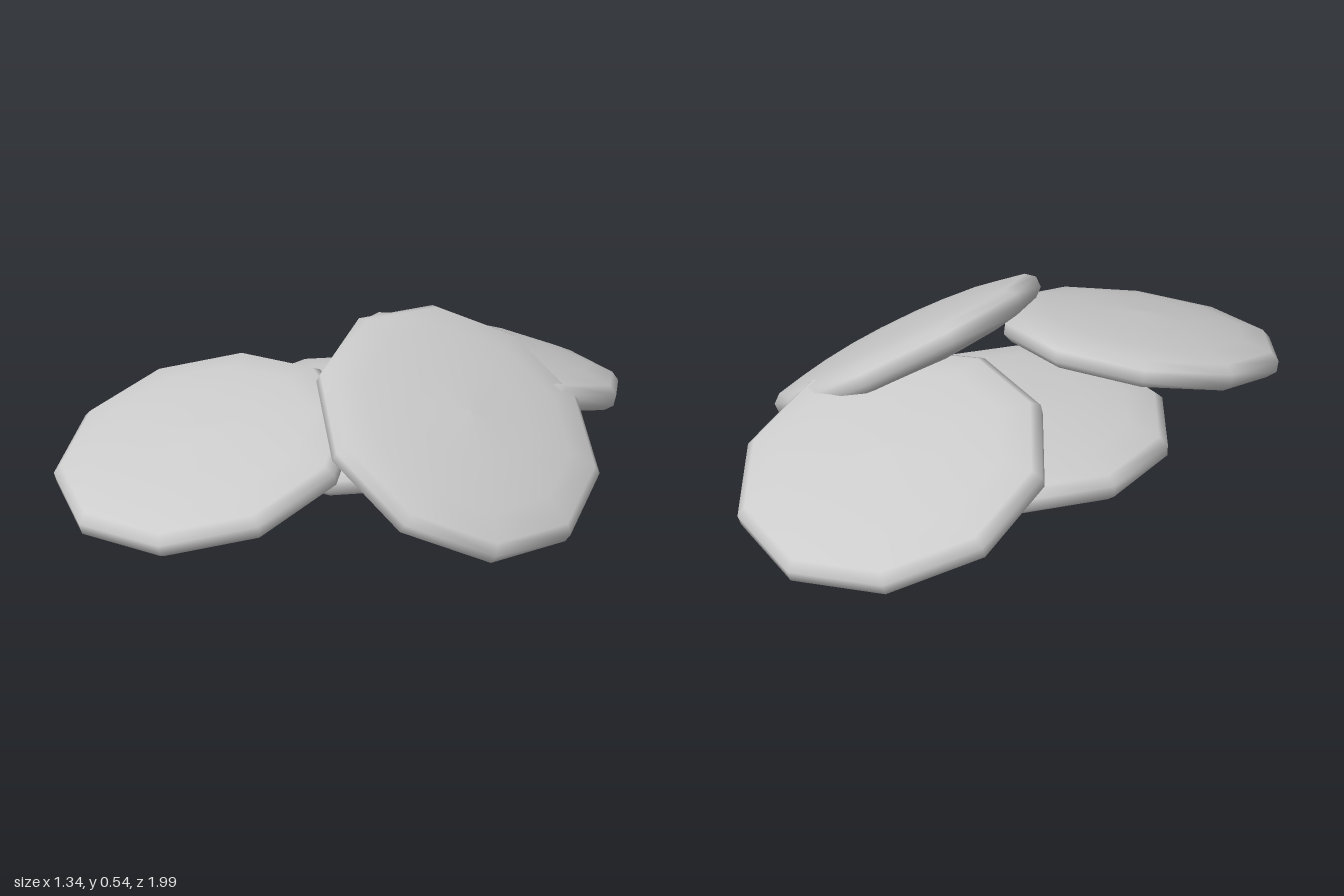
import * as THREE from 'three';

// Ten-sided, softly domed disc, shared by all four pieces
function discGeometry() {
  const half = [[0.463, 0.018], [0.435, 0.042], [0.34, 0.06], [0.2, 0.076], [0, 0.084]];
  const points = [
    ...half.slice().reverse().map(([r, y]) => new THREE.Vector2(r, -y)),
    ...half.map(([r, y]) => new THREE.Vector2(r, y)),
  ];
  return new THREE.LatheGeometry(points, 10);
}

export function createModel() {
  const group = new THREE.Group();
  group.name = 'discPile';
  const geometry = discGeometry();
  const material = new THREE.MeshStandardMaterial({ color: 0xcccccc });

  // name, centre, then pitch, spin and roll in degrees
  const discs = [
    ['bottomDisc', [-0.165, 0.15, -0.035], 0, 0, 0],
    ['frontDisc', [-0.217, 0.232, 0.54], 14, -2, -1.5],
    ['backDisc', [-0.085, 0.23, -0.555], -18, 0, 0],
    ['leaningDisc', [0.282, 0.28, -0.045], 0, -9, -33.5],
  ];
  for (const [name, centre, pitch, spin, roll] of discs) {
    const disc = new THREE.Mesh(geometry, material);
    disc.name = name;
    disc.position.set(...centre);
    const [x, y, z] = [pitch, spin, roll].map(THREE.MathUtils.degToRad);
    disc.rotation.set(x, y, z, 'ZXY');
    group.add(disc);
  }
  return group;
}
